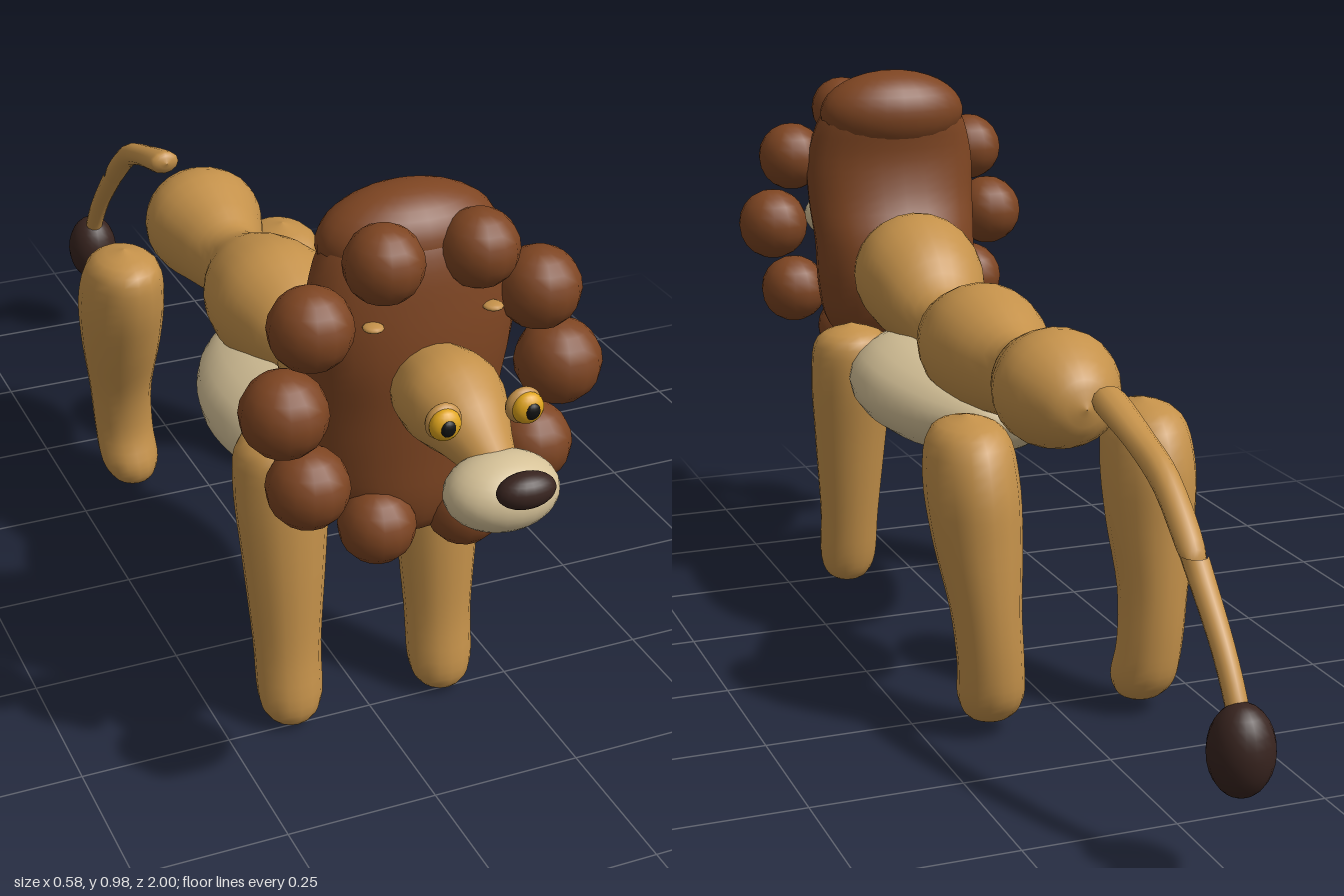
import * as THREE from 'three';

const mat = (color) => new THREE.MeshStandardMaterial({ color, roughness: 0.8 });
const TAN = mat(0xc4914a), CREAM = mat(0xd6c298), BROWN = mat(0x7e4522);
const DARK = mat(0x38241f), YELLOW = mat(0xe0a51c), BLACK = mat(0x111111);

// Smooth skin over elliptical sections [x, y, z, radiusA, radiusB], ordered upward along the axis
function loft(sections, axis, sides = 20, perSpan = 4) {
  const curve = (f) => new THREE.CatmullRomCurve3(sections.map(f), false, 'catmullrom', 0.5);
  const spine = curve((s) => new THREE.Vector3(s[0], s[1], s[2]));
  const size = curve((s) => new THREE.Vector3(s[3], s[4], 0));
  const rows = (sections.length - 1) * perSpan;
  const pos = [], idx = [];
  for (let i = 0; i <= rows; i++) {
    const p = spine.getPoint(i / rows), r = size.getPoint(i / rows);
    for (let j = 0; j < sides; j++) {
      const a = (j / sides) * Math.PI * 2;
      const u = Math.max(r.x, 0.0005) * Math.cos(a), v = Math.max(r.y, 0.0005) * Math.sin(a);
      if (axis === 'y') pos.push(p.x + u, p.y, p.z + v);
      else pos.push(p.x + u, p.y - v, p.z);
      if (i < rows) {
        const k = i * sides, n = (j + 1) % sides;
        idx.push(k + j, k + sides + j, k + n, k + n, k + sides + j, k + sides + n);
      }
    }
  }
  const g = new THREE.BufferGeometry();
  g.setAttribute('position', new THREE.Float32BufferAttribute(pos, 3));
  g.setIndex(idx);
  g.computeVertexNormals();
  return g;
}

export function createModel() {
  const root = new THREE.Group();
  root.name = 'lion';

  const add = (name, geometry, material) => {
    const m = new THREE.Mesh(geometry, material);
    m.name = name;
    root.add(m);
    return m;
  };
  const ball = (name, material, [x, y, z], [rx, ry, rz], seg = 20) => {
    const m = add(name, new THREE.SphereGeometry(1, seg, Math.ceil(seg * 0.7)), material);
    m.position.set(x, y, z);
    m.scale.set(rx, ry, rz);
    return m;
  };

  // Body: hips, waist, back and shoulders
  add('body', loft([
    [0, 0.555, -0.392, 0, 0], [0, 0.555, -0.365, 0.062, 0.06], [0, 0.56, -0.27, 0.107, 0.1],
    [0, 0.55, -0.17, 0.08, 0.085], [0, 0.54, -0.1, 0.06, 0.072], [0, 0.55, 0, 0.1, 0.1],
    [0, 0.555, 0.09, 0.112, 0.11], [0, 0.55, 0.18, 0.09, 0.088], [0, 0.545, 0.255, 0.065, 0.065],
    [0, 0.585, 0.335, 0.1, 0.1], [0, 0.61, 0.42, 0.12, 0.118], [0, 0.615, 0.5, 0.1, 0.095],
    [0, 0.62, 0.55, 0, 0]], 'z', 24), TAN);

  // Belly
  add('belly', loft([
    [0, 0.44, -0.06, 0, 0], [0, 0.44, -0.03, 0.07, 0.042], [0, 0.435, 0.06, 0.135, 0.077],
    [0, 0.44, 0.2, 0.176, 0.094], [0, 0.445, 0.34, 0.168, 0.094], [0, 0.45, 0.45, 0.115, 0.065],
    [0, 0.45, 0.51, 0.06, 0.04], [0, 0.45, 0.535, 0, 0]], 'z', 24), CREAM);

  // Legs
  for (const [side, s] of [['left', 1], ['right', -1]]) {
    add(side + 'FrontLeg', loft([
      [s * 0.135, 0.004, 0.483, 0, 0], [s * 0.135, 0.015, 0.483, 0.034, 0.034],
      [s * 0.135, 0.055, 0.48, 0.053, 0.052], [s * 0.135, 0.15, 0.465, 0.056, 0.055],
      [s * 0.135, 0.3, 0.45, 0.068, 0.066], [s * 0.135, 0.43, 0.435, 0.077, 0.073],
      [s * 0.135, 0.505, 0.43, 0.065, 0.062], [s * 0.135, 0.532, 0.43, 0, 0]], 'y', 16), TAN);
    add(side + 'HindLeg', loft([
      [s * 0.135, 0.018, -0.305, 0, 0], [s * 0.135, 0.028, -0.308, 0.035, 0.036],
      [s * 0.137, 0.065, -0.32, 0.054, 0.06], [s * 0.142, 0.13, -0.334, 0.055, 0.057],
      [s * 0.148, 0.22, -0.328, 0.058, 0.066], [s * 0.153, 0.33, -0.303, 0.072, 0.087],
      [s * 0.156, 0.43, -0.282, 0.076, 0.099], [s * 0.155, 0.505, -0.265, 0.06, 0.078],
      [s * 0.155, 0.532, -0.262, 0, 0]], 'y', 16), TAN);
  }

  // Tail and tuft
  add('tail', loft([
    [0, 0.205, -0.95, 0.015, 0.015], [0, 0.26, -0.935, 0.017, 0.018], [0, 0.34, -0.88, 0.018, 0.022],
    [0, 0.44, -0.785, 0.021, 0.026]], 'y', 12), TAN);
  add('tailBase', loft([
    [0, 0.42, -0.802, 0, 0], [0, 0.44, -0.785, 0.02, 0.024], [0, 0.52, -0.69, 0.023, 0.025],
    [0, 0.56, -0.59, 0.025, 0.021], [0, 0.588, -0.49, 0.029, 0.023], [0, 0.593, -0.468, 0.024, 0.019],
    [0, 0.595, -0.458, 0, 0]], 'z', 12), TAN);
  ball('tailTuft', DARK, [0, 0.205, -0.95], [0.05, 0.07, 0.05]);

  // Mane: core hood, crown and ring of curls
  add('maneCore', loft([
    [0, 0.43, 0.6, 0, 0], [0, 0.445, 0.595, 0.07, 0.065], [0, 0.5, 0.575, 0.135, 0.108],
    [0, 0.58, 0.568, 0.155, 0.12], [0, 0.66, 0.575, 0.158, 0.116], [0, 0.74, 0.595, 0.165, 0.098],
    [0, 0.82, 0.6, 0.165, 0.086], [0, 0.9, 0.59, 0.14, 0.082], [0, 0.95, 0.58, 0.09, 0.06],
    [0, 0.97, 0.58, 0, 0]], 'y', 24), BROWN);
  ball('maneCrown', BROWN, [0, 0.905, 0.582], [0.142, 0.08, 0.085], 24);
  const curls = [[0.075, 0.905, 0.665, 0.06], [0.182, 0.818, 0.655, 0.064], [0.222, 0.688, 0.655, 0.067],
    [0.183, 0.557, 0.655, 0.064], [0.072, 0.47, 0.66, 0.06]];
  for (const s of [1, -1])
    for (const [x, y, z, r] of curls) ball('maneCurl', BROWN, [s * x, y, z], [r, r, r], 14);

  // Head narrowing into the snout
  add('head', loft([
    [0, 0.705, 0.64, 0.05, 0.05], [0, 0.708, 0.69, 0.07, 0.068], [0, 0.712, 0.75, 0.078, 0.072],
    [0, 0.705, 0.805, 0.062, 0.057], [0, 0.69, 0.85, 0.045, 0.042], [0, 0.67, 0.9, 0.03, 0.03]],
    'z', 20), TAN);
  ball('muzzle', CREAM, [0, 0.653, 0.905], [0.085, 0.055, 0.066], 24);
  ball('lowerJaw', CREAM, [0, 0.604, 0.855], [0.05, 0.015, 0.048]);
  ball('nose', DARK, [0, 0.692, 0.974], [0.044, 0.026, 0.026]);

  // Eyes and ears
  for (const [side, s] of [['left', 1], ['right', -1]]) {
    ball(side + 'EyeLid', TAN, [s * 0.062, 0.742, 0.842], [0.028, 0.028, 0.014], 16);
    ball(side + 'Eye', YELLOW, [s * 0.064, 0.742, 0.852], [0.024, 0.024, 0.016], 16);
    ball(side + 'Pupil', BLACK, [s * 0.065, 0.742, 0.864], [0.012, 0.013, 0.007], 12);
    ball(side + 'Ear', TAN, [s * 0.095, 0.814, 0.678], [0.016, 0.006, 0.016], 12);
  }
  return root;
}
